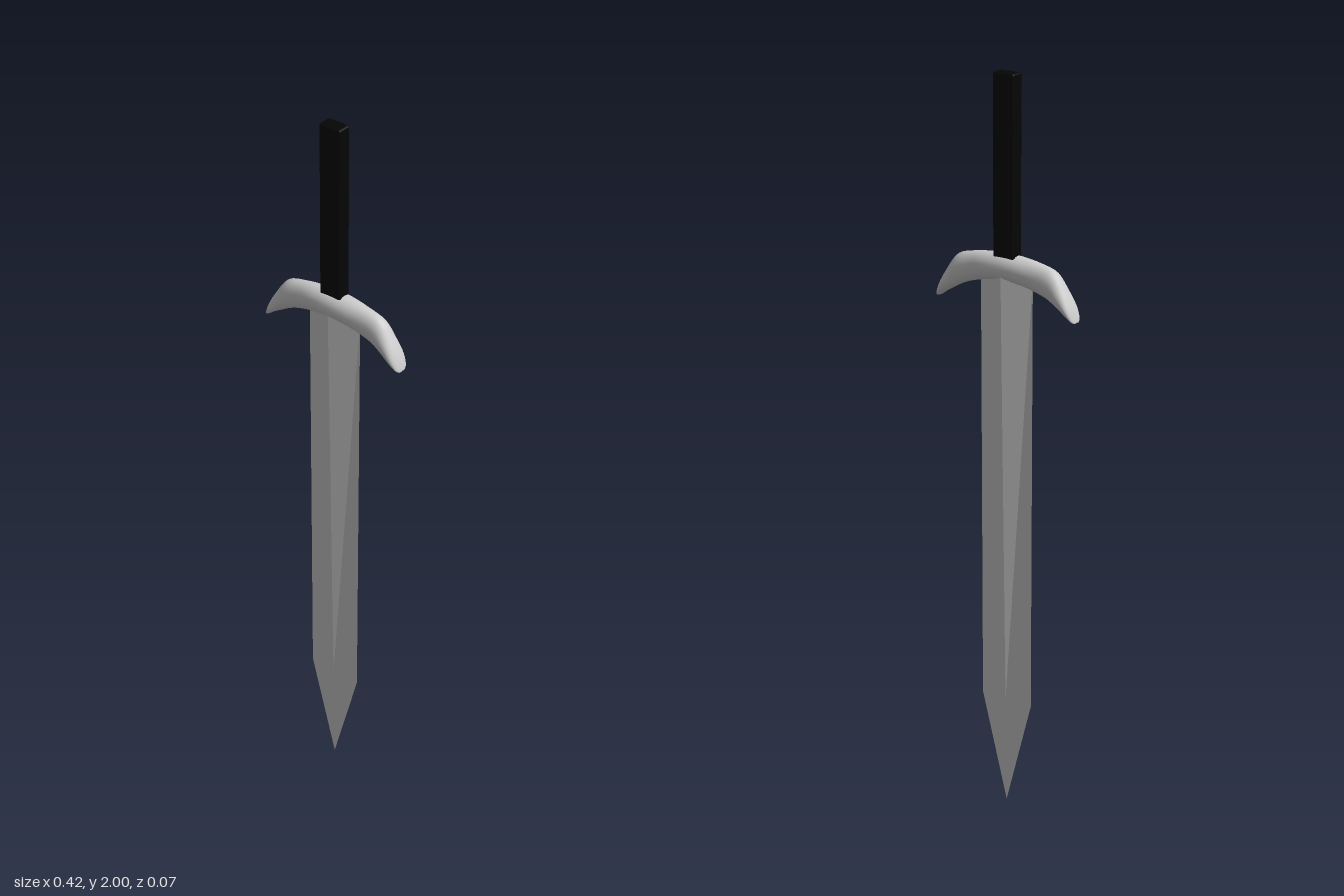
import * as THREE from 'three';
import { RoundedBoxGeometry } from 'three/addons/geometries/RoundedBoxGeometry.js';

const TOP = 1.5, SHOULDER = 0.31;

// Diamond-section blade: a four-sided prism pinched to a point, thinning toward the tip
function bladeGeometry() {
  const geo = new THREE.CylinderGeometry(1, 1, 2, 4, 2);
  const p = geo.attributes.position;
  for (let i = 0; i < p.count; i++) {
    const level = Math.round(p.getY(i)); // 1 root, 0 shoulder, -1 tip
    const y = level === 1 ? TOP : level === 0 ? SHOULDER : 0;
    const w = level === -1 ? 0 : 0.078;
    p.setXYZ(i, p.getX(i) * w, y, p.getZ(i) * 0.027 * y / TOP);
  }
  geo.computeVertexNormals();
  return geo;
}

// Curved guard: oval sections swept between an upper and a lower outline
function guardGeometry() {
  // upper x, upper y, lower x, lower y, half depth (centre to end)
  const half = [
    [0, 1.552, 0, 1.482, 0.034],
    [0.05, 1.549, 0.045, 1.478, 0.032],
    [0.1, 1.542, 0.085, 1.469, 0.0275],
    [0.145, 1.528, 0.125, 1.456, 0.027],
    [0.175, 1.488, 0.158, 1.438, 0.028],
    [0.196, 1.45, 0.183, 1.423, 0.027],
    [0.206, 1.421, 0.2, 1.411, 0.019],
    [0.208, 1.411, 0.206, 1.409, 0.01],
  ];
  const rows = [...half.slice(1).reverse().map(([a, b, c, d, e]) => [-a, b, -c, d, e]), ...half];
  const upper = new THREE.CatmullRomCurve3(rows.map(r => new THREE.Vector3(r[0], r[1], r[4])));
  const lower = new THREE.CatmullRomCurve3(rows.map(r => new THREE.Vector3(r[2], r[3], 0)));
  const N = 56, M = 24, pos = [], idx = [];
  for (let i = 0; i <= N; i++) {
    const a = upper.getPoint(i / N), b = lower.getPoint(i / N);
    for (let j = 0; j < M; j++) {
      const t = j / M * Math.PI * 2, k = (1 + Math.cos(t)) / 2;
      pos.push(b.x + (a.x - b.x) * k, b.y + (a.y - b.y) * k, a.z * Math.sin(t));
    }
  }
  for (let i = 0; i < N; i++) for (let j = 0; j < M; j++) {
    const a = i * M + j, b = i * M + (j + 1) % M;
    idx.push(a, b, a + M, b, b + M, a + M);
  }
  // End caps
  for (let j = 1; j < M - 1; j++) {
    idx.push(0, j + 1, j);
    idx.push(N * M, N * M + j, N * M + j + 1);
  }
  const geo = new THREE.BufferGeometry();
  geo.setAttribute('position', new THREE.Float32BufferAttribute(pos, 3));
  geo.setIndex(idx);
  geo.computeVertexNormals();
  return geo;
}

export function createModel() {
  const group = new THREE.Group();
  group.name = 'sword';
  const add = (name, geo, options) => {
    const mesh = new THREE.Mesh(geo, new THREE.MeshStandardMaterial(options));
    mesh.name = name;
    group.add(mesh);
    return mesh;
  };
  add('blade', bladeGeometry(), { color: 0xcccccc, flatShading: true });
  add('guard', guardGeometry(), { color: 0xcccccc, side: THREE.DoubleSide });
  // Grip, set into the middle of the guard
  const grip = add('grip', new RoundedBoxGeometry(0.062, 0.48, 0.037, 2, 0.005), { color: 0x050505 });
  grip.position.set(-0.002, 1.76, -0.001);
  return group;
}
